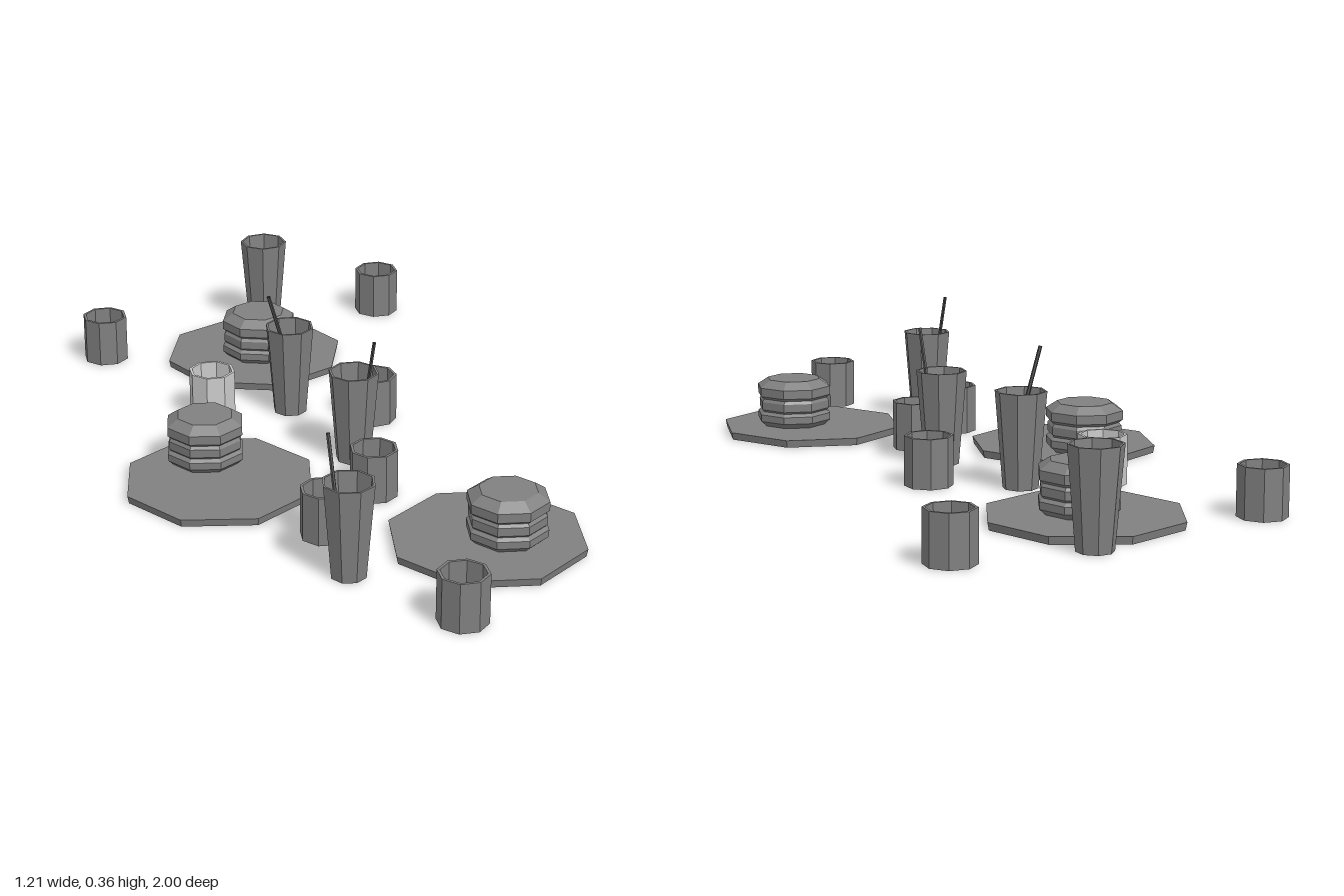
import * as THREE from 'three';

const SIDES = 8;
const material = (color) => new THREE.MeshStandardMaterial({ color, flatShading: true, side: THREE.DoubleSide });
const dark = material(0x808080);
const drink = material(0x606060);
const strawDark = material(0x505050);
const light = material(0xcccccc);

// Eight-sided turned part from [radius, height] pairs, bottom to top
function turned(name, profile, mat) {
  const points = profile.map(([r, y]) => new THREE.Vector2(r, y));
  const mesh = new THREE.Mesh(new THREE.LatheGeometry(points, SIDES), mat);
  mesh.name = name;
  return mesh;
}

function place(parent, object, x, y, z, degrees = 0) {
  object.position.set(x, y, z);
  object.rotation.y = THREE.MathUtils.degToRad(degrees);
  parent.add(object);
  return object;
}

// Hollow short cup
function makeShortCup(mat) {
  return turned('shortCup', [[0, 0], [0.0635, 0], [0.0635, 0.13], [0.056, 0.13], [0.056, 0.015], [0, 0.015]], mat);
}

// Tapered tall cup, filled to just below the rim
function makeTallCup() {
  const group = new THREE.Group();
  group.name = 'tallCup';
  group.add(turned('cupBody', [[0, 0], [0.046, 0], [0.067, 0.25], [0.061, 0.25], [0.057, 0.19]], dark));
  group.add(turned('drinkSurface', [[0.057, 0.19], [0, 0.19]], drink));
  return group;
}

// Thin straw between two points
function makeStraw(from, to) {
  const path = new THREE.LineCurve3(new THREE.Vector3(...from), new THREE.Vector3(...to));
  const mesh = new THREE.Mesh(new THREE.TubeGeometry(path, 1, 0.005, 6), strawDark);
  mesh.name = 'straw';
  return mesh;
}

// Burger: lower bun, filling and domed upper bun
function makeBurger() {
  const group = new THREE.Group();
  group.name = 'burger';
  group.add(turned('lowerBun', [[0, 0], [0.088, 0], [0.105, 0.015], [0.105, 0.034], [0.095, 0.042]], dark));
  group.add(turned('filling', [[0.095, 0.042], [0.101, 0.048], [0.101, 0.07], [0.095, 0.078]], dark));
  group.add(turned('upperBun', [[0.095, 0.078], [0.105, 0.086], [0.105, 0.11], [0.075, 0.13], [0, 0.13]], dark));
  return group;
}

export function createModel() {
  const model = new THREE.Group();
  model.name = 'fastFoodServing';

  // Plates, each with a burger: plate x, z, turn, burger x, z
  const servings = [
    [-0.35, 0.043, 0, -0.34, -0.077],
    [0.06, -0.685, -8, 0.067, -0.67],
    [0.127, 0.613, 2.3, 0.168, 0.64],
  ];
  for (const [px, pz, turn, bx, bz] of servings) {
    const plate = new THREE.Mesh(new THREE.CylinderGeometry(0.254, 0.25, 0.02, SIDES), dark);
    plate.name = 'plate';
    place(model, plate, px, 0.01, pz, turn);
    place(model, makeBurger(), bx, 0.02, bz, turn);
  }

  // Short cups: x, z, turn, material
  const shortCups = [
    [-0.33, -0.867, 10, dark], [0.54, -0.867, 12, dark], [-0.198, -0.375, 10, light],
    [0.19, -0.163, 20, dark], [-0.01, 0.255, 4, dark], [-0.22, 0.41, 6, dark], [-0.11, 0.935, 10, dark],
  ];
  for (const [x, z, turn, mat] of shortCups) place(model, makeShortCup(mat), x, 0, z, turn);

  // Tall cups: x, z, turn
  const tallCups = [[0.2, -0.937, 20], [0.005, -0.307, 5], [0.032, 0.044, 8], [-0.255, 0.622, 0]];
  for (const [x, z, turn] of tallCups) place(model, makeTallCup(), x, 0, z, turn);

  // Straws leaning out of three of the tall cups
  model.add(makeStraw([-0.016, 0.18, -0.28], [-0.065, 0.355, -0.287]));
  model.add(makeStraw([0.055, 0.18, 0.069], [0.055, 0.355, 0.118]));
  model.add(makeStraw([-0.28, 0.18, 0.608], [-0.28, 0.355, 0.559]));

  return model;
}
